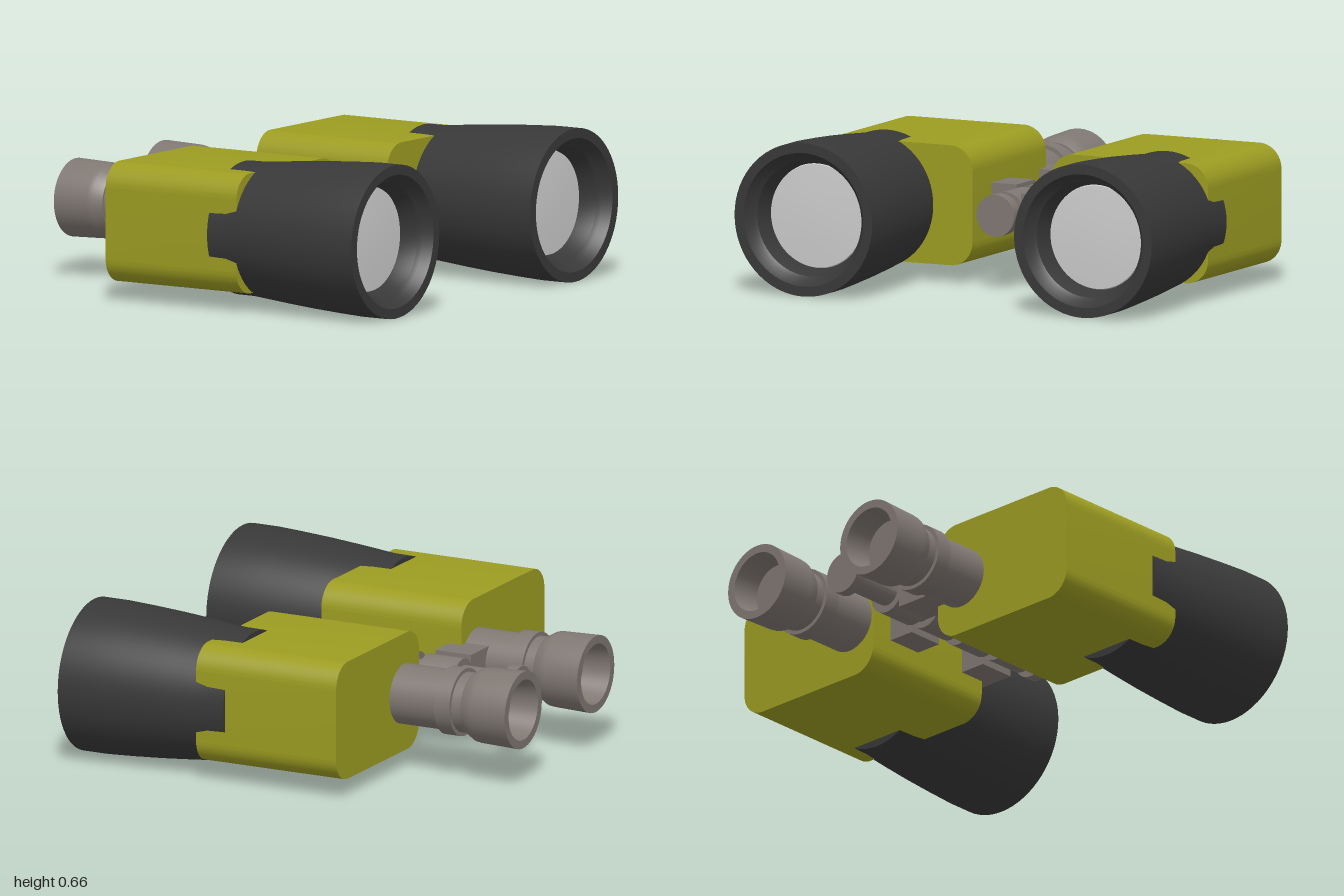
import * as THREE from 'three';
import { toCreasedNormals } from 'three/addons/utils/BufferGeometryUtils.js';

const material = (name, color) => {
  const m = new THREE.MeshStandardMaterial({ color });
  m.name = name;
  return m;
};

const AXIS_Y = 0.332;

// Turned part lying along x; profile is a list of [x, radius]
function turned(profile, segments = 48) {
  const points = profile.map(([x, r]) => new THREE.Vector2(r, x));
  const geometry = new THREE.LatheGeometry(points, segments);
  geometry.rotateZ(-Math.PI / 2);
  return toCreasedNormals(geometry, 0.45);
}

// Plain cylinder along x between x0 and x1
const rod = (x0, x1, r) => turned([[x0, 0], [x0, r], [x1, r], [x1, 0]]);

// Rounded rectangle extruded along x, centred on the y-z origin
function roundedBlock(x0, x1, width, height, r) {
  const w = width / 2, h = height / 2;
  const s = new THREE.Shape();
  s.moveTo(-w + r, -h);
  s.lineTo(w - r, -h);
  s.absarc(w - r, -h + r, r, -Math.PI / 2, 0);
  s.lineTo(w, h - r);
  s.absarc(w - r, h - r, r, 0, Math.PI / 2);
  s.lineTo(-w + r, h);
  s.absarc(-w + r, h - r, r, Math.PI / 2, Math.PI);
  s.lineTo(-w, -h + r);
  s.absarc(-w + r, -h + r, r, Math.PI, Math.PI * 1.5);
  const g = new THREE.ExtrudeGeometry(s, { depth: x1 - x0, bevelEnabled: false, curveSegments: 10 });
  g.rotateY(Math.PI / 2);
  g.translate(x0, 0, 0);
  return toCreasedNormals(g, 0.45);
}

export function createModel() {
  const olive = material('olive body', 0x9c9c22);
  const black = material('black rubber', 0x383838);
  const grey = material('warm grey metal', 0x7f7772);
  const glass = material('pale glass', 0xcccccc);

  const model = new THREE.Group();
  model.name = 'binoculars';

  const add = (name, geometry, mat, z = 0, parent = model) => {
    const mesh = new THREE.Mesh(geometry, mat);
    mesh.name = name;
    mesh.position.set(0, AXIS_Y, z);
    parent.add(mesh);
    return mesh;
  };

  // Prism housing, objective barrel, lens and eyepiece shared by both halves
  const housing = roundedBlock(-0.37, 0.305, 0.75, 0.516, 0.105);
  const barrel = turned([
    [0.165, 0], [0.165, 0.286], [0.25, 0.287], [0.305, 0.292], [0.43, 0.304],
    [0.56, 0.315], [0.70, 0.324], [0.82, 0.33], [0.94, 0.33],
    [0.94, 0.287], [0.90, 0.265], [0.885, 0.25], [0.81, 0.226], [0.80, 0.226], [0.80, 0],
  ], 64);
  const lens = turned([[0.80, 0.226], [0.812, 0.222], [0.818, 0.12], [0.82, 0]], 64);
  const eyepiece = turned([
    [-0.82, 0], [-0.82, 0.118], [-0.945, 0.132], [-0.945, 0.168], [-0.78, 0.163],
    [-0.755, 0.16], [-0.715, 0.138], [-0.715, 0.13], [-0.667, 0.13],
    [-0.667, 0.147], [-0.593, 0.147], [-0.593, 0.13], [-0.36, 0.13], [-0.36, 0],
  ]);

  for (const side of [1, -1]) {
    const half = new THREE.Group();
    half.name = side > 0 ? 'frontHalf' : 'backHalf';
    model.add(half);
    add('prismHousing', housing, olive, side * 0.565, half).position.y = 0.337;
    add('objectiveBarrel', barrel, black, side * 0.67, half);
    add('objectiveLens', lens, glass, side * 0.67, half);
    add('eyepiece', eyepiece, grey, side * 0.327, half);
  }

  // Central hinge: shaft with end caps
  add('hingeShaft', rod(-0.74, 0.44, 0.058), grey);
  add('hingeRearCap', rod(-0.762, -0.712, 0.09), grey);
  add('hingeFrontCap', rod(0.405, 0.46, 0.09), grey);

  // Knuckles with arms reaching alternately to each half
  for (const [x0, x1, side] of [
    [-0.482, -0.31, 1], [-0.26, -0.09, -1], [-0.037, 0.132, 1], [0.182, 0.354, -1],
  ]) {
    add('hingeKnuckle', rod(x0, x1, 0.088), grey, side * -0.005);
    const arm = new THREE.BoxGeometry(x1 - x0, 0.174, 0.26);
    arm.translate((x0 + x1) / 2, 0, 0);
    add('hingeArm', arm, grey, side * 0.198);
  }
  return model;
}
